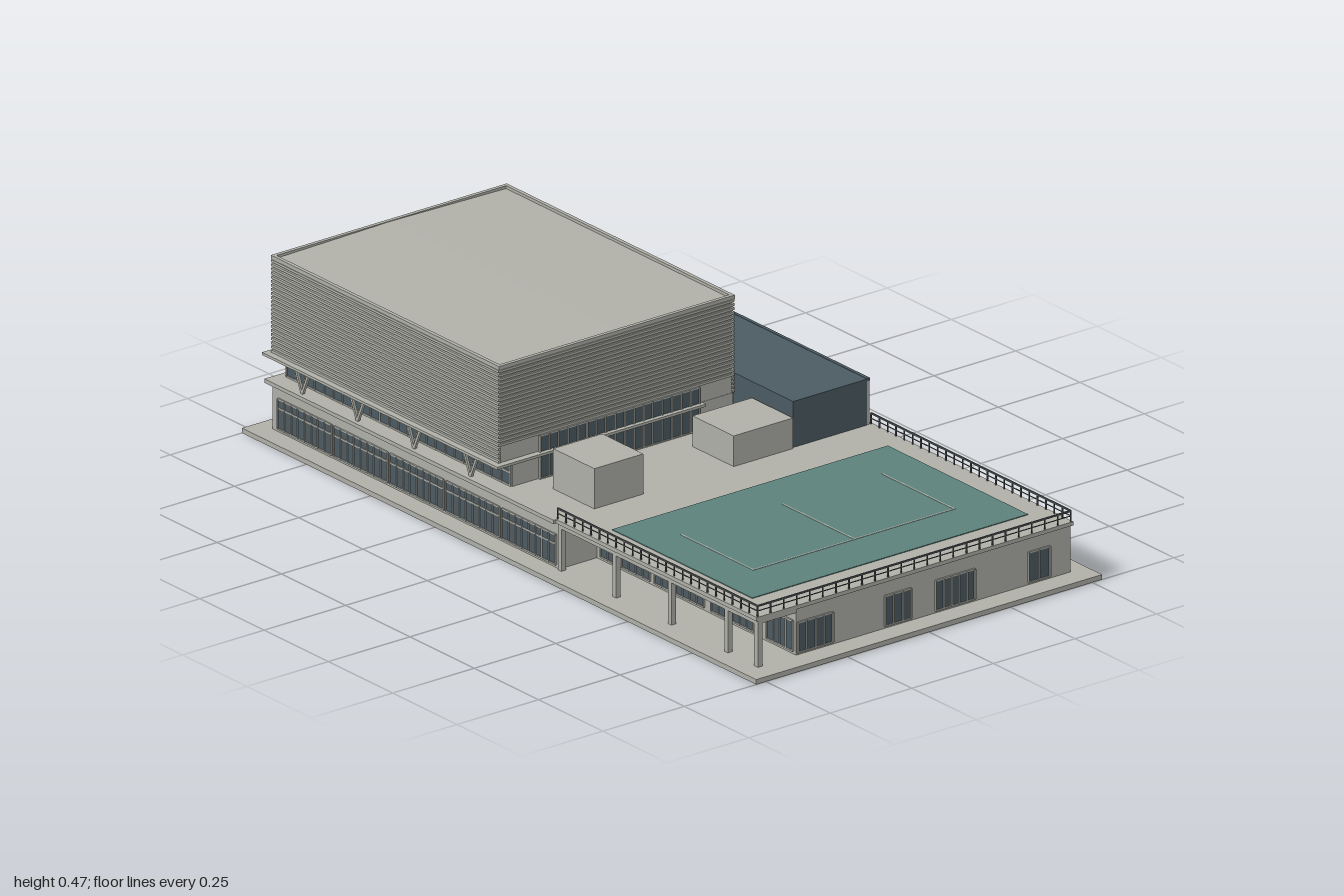
import * as THREE from 'three';

const mat = (name, color) => {
  const m = new THREE.MeshStandardMaterial({ color });
  m.name = name;
  return m;
};

export function createModel() {
  const model = new THREE.Group();
  model.name = 'sportsCentre';
  const concrete = mat('concrete', 0xb0b0a9);
  const glass = mat('darkGlass', 0x4c5b63);
  const green = mat('courtGreen', 0x5c827b);
  const rail = mat('railMetal', 0x55585a);
  const paint = mat('courtLine', 0xb9bfb8);

  const group = (name) => {
    const g = new THREE.Group();
    g.name = name;
    model.add(g);
    return g;
  };
  // Box given by its limits on each axis
  const box = (name, x0, x1, y0, y1, z0, z1, material = concrete, parent = model) => {
    const m = new THREE.Mesh(new THREE.BoxGeometry(x1 - x0, y1 - y0, z1 - z0), material);
    m.position.set((x0 + x1) / 2, (y0 + y1) / 2, (z0 + z1) / 2);
    m.name = name;
    parent.add(m);
    return m;
  };
  // Vertical prism over a plan outline of [x, z] corners
  const prism = (name, pts, y0, y1) => {
    const shape = new THREE.Shape(pts.map(([x, z]) => new THREE.Vector2(x, -z)));
    const geo = new THREE.ExtrudeGeometry(shape, { depth: y1 - y0, bevelEnabled: false });
    geo.rotateX(-Math.PI / 2);
    const m = new THREE.Mesh(geo, concrete);
    m.position.y = y0;
    m.name = name;
    model.add(m);
  };
  // Straight square bar between two points
  const bar = (name, a, b, t, material, parent) => {
    const A = new THREE.Vector3(...a), B = new THREE.Vector3(...b);
    const m = new THREE.Mesh(new THREE.BoxGeometry(t, A.distanceTo(B), t), material);
    m.position.copy(A).add(B).multiplyScalar(0.5);
    m.quaternion.setFromUnitVectors(new THREE.Vector3(0, 1, 0), B.clone().sub(A).normalize());
    m.name = name;
    parent.add(m);
  };
  // Framed glazing, built facing +z and turned to face its wall
  const glazing = (name, x, y, z, w, h, panes, turn = 0, transom = 0) => {
    const g = group(name);
    g.position.set(x, y, z);
    g.rotation.y = turn;
    const t = 0.004;
    box('pane', -w / 2, w / 2, 0, h, 0, 0.003, glass, g);
    for (let i = 0; i <= panes; i++) {
      const c = -w / 2 + (w * i) / panes;
      box('mullion', c - t / 2, c + t / 2, 0, h, 0.001, 0.006, concrete, g);
    }
    const levels = transom ? [0, transom, h] : [0, h];
    for (const v of levels) box('crossFrame', -w / 2, w / 2, v - t / 2, v + t / 2, 0.001, 0.005, concrete, g);
  };

  // Ground slab and ground storey
  box('groundSlab', -1, 1, 0, 0.013, -0.53, 0.53);
  prism('groundStorey', [[-0.95, 0.475], [0.165, 0.475], [0.165, 0.36], [0.94, 0.36],
    [0.94, -0.48], [-0.51, -0.48], [-0.51, -0.265], [-0.95, -0.265]], 0.013, 0.135);
  prism('terrace', [[-0.96, 0.493], [0.165, 0.493], [0.165, 0.485], [0.945, 0.485],
    [0.945, -0.485], [-0.517, -0.485], [-0.517, -0.272], [-0.96, -0.272]], 0.135, 0.145);

  // Open gallery along the front right
  const gallery = group('gallery');
  for (const x of [0.172, 0.385, 0.6, 0.82, 0.936])
    box('galleryColumn', x - 0.007, x + 0.007, 0.013, 0.135, 0.466, 0.48, concrete, gallery);
  box('galleryBeam', 0.165, 0.943, 0.123, 0.135, 0.466, 0.48, concrete, gallery);
  box('galleryEndBeam', 0.929, 0.943, 0.125, 0.135, 0.36, 0.466, concrete, gallery);

  // Ground storey windows
  for (let i = 0; i < 5; i++)
    glazing('frontWindow', -0.822 + i * 0.218, 0.022, 0.475, 0.208, 0.078, 8, 0, 0.055);
  for (const [x, w, n] of [[0.28, 0.19, 7], [0.49, 0.19, 7], [0.71, 0.19, 7], [0.88, 0.1, 4]])
    glazing('galleryWindow', x, 0.022, 0.36, w, 0.078, n);
  for (const [z0, z1, n] of [[0.25, 0.357, 4], [0.01, 0.09, 3], [-0.185, -0.065, 5], [-0.415, -0.35, 2]])
    glazing('sideWindow', 0.94, 0.02, (z0 + z1) / 2, z1 - z0, 0.078, n, Math.PI / 2);
  for (const x of [0.73, 0.42, 0.11, -0.45])
    glazing('backVent', x, 0.1, -0.48, 0.05, 0.016, 2, Math.PI);
  glazing('backDoor', 0.9, 0.015, -0.48, 0.06, 0.085, 2, Math.PI);
  glazing('yardDoor', -0.86, 0.015, -0.265, 0.07, 0.085, 2, Math.PI);

  // Recessed glazed storey below the hall
  box('upperStorey', -0.935, -0.062, 0.145, 0.215, -0.235, 0.44);
  glazing('frontGallery', -0.5, 0.147, 0.44, 0.87, 0.062, 24, 0, 0.034);
  glazing('yardWindow', -0.89, 0.155, -0.235, 0.06, 0.04, 2, Math.PI);
  box('ledge', -0.96, -0.045, 0.209, 0.216, -0.14, 0.5);

  // Slanted V supports
  const supports = group('supports');
  for (const x of [-0.83, -0.615, -0.395, -0.175])
    for (const s of [-1, 1])
      bar('slantedSupport', [x, 0.145, 0.478], [x + s * 0.028, 0.21, 0.478], 0.007, concrete, supports);

  // Hall clad in horizontal slats
  const hall = group('hall');
  box('hallBody', -0.942, -0.063, 0.214, 0.462, -0.232, 0.477, concrete, hall);
  const slats = 23;
  for (let i = 0; i < slats; i++) {
    const y = 0.217 + i * 0.0107;
    box('frontSlat', -0.945, -0.06, y, y + 0.0065, 0.477, 0.484, concrete, hall);
    box('backSlat', -0.945, -0.06, y, y + 0.0065, -0.239, -0.232, concrete, hall);
    box('leftSlat', -0.946, -0.942, y, y + 0.0065, -0.232, 0.477, concrete, hall);
    if (y > 0.258) box('rightSlat', -0.063, -0.059, y, y + 0.0065, -0.232, 0.477, concrete, hall);
  }
  for (const z of [-0.239, 0.474]) box('roofEdge', -0.946, -0.059, 0.46, 0.47, z, z + 0.01, concrete, hall);
  for (const x of [-0.946, -0.069]) box('roofSideEdge', x, x + 0.01, 0.46, 0.47, -0.229, 0.474, concrete, hall);
  // Very shallow pitched roof
  const pitch = new THREE.Shape([[-0.352, 0], [0.352, 0], [0.352, 0.001], [0, 0.007], [-0.352, 0.001]]
    .map((p) => new THREE.Vector2(...p)));
  const roof = new THREE.Mesh(new THREE.ExtrudeGeometry(pitch, { depth: 0.867, bevelEnabled: false }), concrete);
  roof.name = 'hallRoof';
  roof.rotation.y = Math.PI / 2;
  roof.position.set(-0.936, 0.4615, 0.1225);
  hall.add(roof);

  // Tall glazing from the hall to the terrace
  glazing('terraceGlazing', -0.06, 0.146, 0.115, 0.49, 0.112, 17, Math.PI / 2, 0.066);

  // Stair wall on the outer side
  box('outerWall', -0.985, -0.95, 0.013, 0.225, -0.14, 0.37);
  box('outerPier', -0.997, -0.955, 0.013, 0.108, -0.16, -0.14);

  // Dark plant room with a slatted back
  const plant = group('plantRoom');
  box('plantBody', -0.5, 0.165, 0.145, 0.265, -0.468, -0.241, glass, plant);
  box('plantRoof', -0.5, 0.165, 0.259, 0.266, -0.477, -0.468, glass, plant);
  for (let i = 0; i < 10; i++) {
    const y = 0.148 + i * 0.011;
    box('plantSlat', -0.497, 0.162, y, y + 0.009, -0.474, -0.468, concrete, plant);
  }
  for (let i = 0; i <= 5; i++) {
    const x = -0.496 + i * 0.1315;
    box('plantPost', x - 0.002, x + 0.002, 0.145, 0.259, -0.476, -0.468, concrete, plant);
  }

  // Rooftop boxes
  box('rearRoofBox', 0.01, 0.17, 0.145, 0.225, -0.237, -0.055);
  box('frontRoofBox', 0.01, 0.17, 0.145, 0.25, 0.222, 0.372);

  // Sports court and its painted lines
  box('court', 0.3, 0.845, 0.145, 0.147, -0.425, 0.42, green);
  const lines = group('courtLines');
  for (const z of [-0.305, 0, 0.31])
    box('longLine', 0.43, 0.712, 0.147, 0.148, z - 0.002, z + 0.002, paint, lines);
  box('endLine', 0.708, 0.712, 0.147, 0.1481, -0.305, 0.31, paint, lines);

  // Terrace railing
  const railing = group('railing');
  const run = (a, b, n) => {
    for (const y of [0.173, 0.16]) bar('handrail', [a[0], y, a[1]], [b[0], y, b[1]], y > 0.17 ? 0.004 : 0.002, rail, railing);
    for (let i = 0; i <= n; i++) {
      const x = a[0] + ((b[0] - a[0]) * i) / n, z = a[1] + ((b[1] - a[1]) * i) / n;
      bar('railPost', [x, 0.145, z], [x, 0.174, z], 0.003, rail, railing);
    }
  };
  run([0.165, 0.48], [0.942, 0.48], 24);
  run([0.942, 0.48], [0.942, -0.48], 24);
  run([0.942, -0.48], [0.165, -0.48], 24);

  return model;
}
